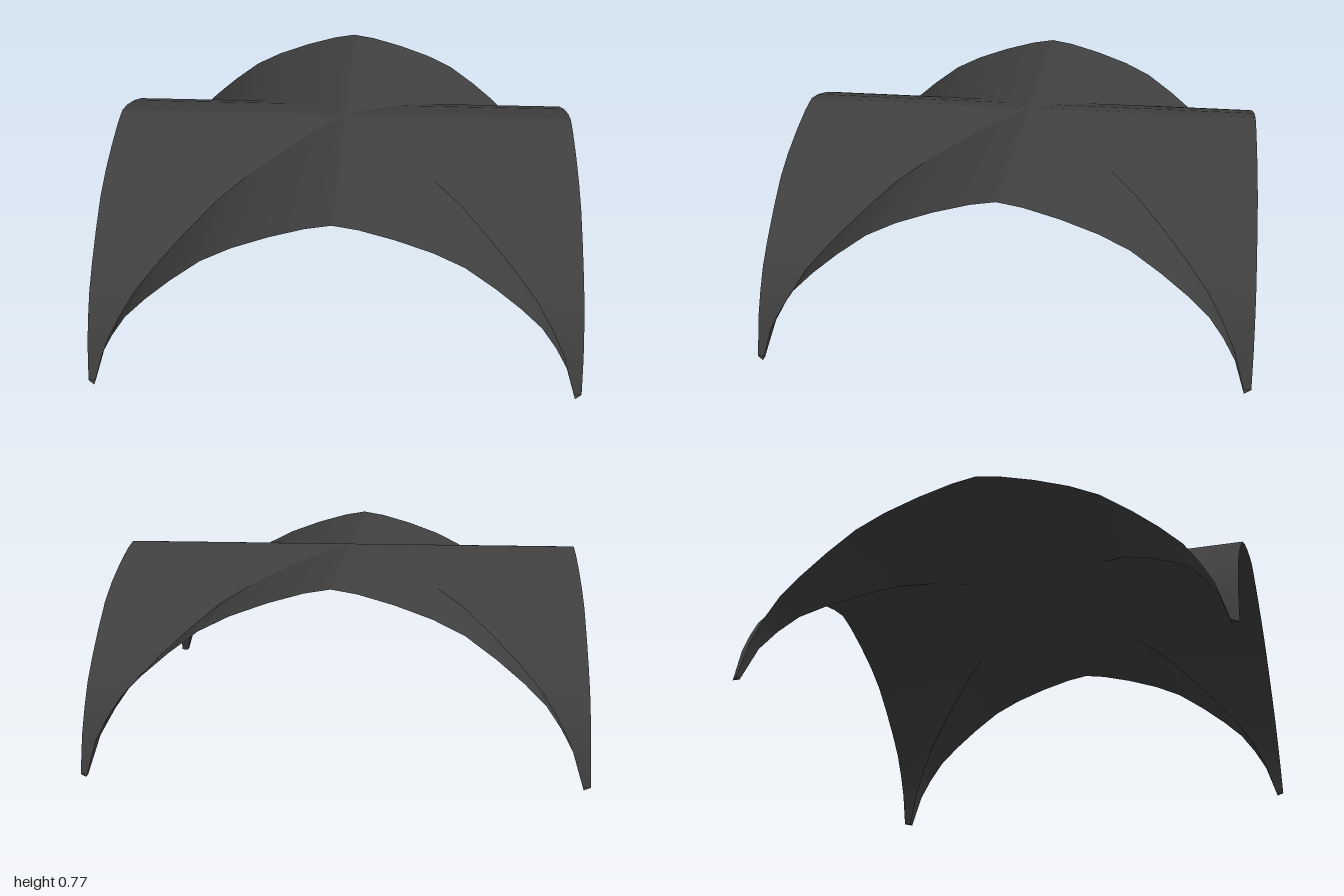
import * as THREE from 'three';

// Arch profile from crown to springing: [distance from centre line, height]
const ARCH = [
  [0, 0.77], [0.1, 0.753], [0.24, 0.713], [0.385, 0.66], [0.505, 0.6], [0.625, 0.51],
  [0.73, 0.42], [0.815, 0.335], [0.875, 0.245], [0.925, 0.15], [0.97, 0],
];

const material = new THREE.MeshStandardMaterial({ color: 0x404040, side: THREE.DoubleSide });

function surface(positions, index) {
  const geometry = new THREE.BufferGeometry();
  geometry.setAttribute('position', new THREE.Float32BufferAttribute(positions, 3));
  geometry.setIndex(index);
  geometry.computeVertexNormals();
  return geometry;
}

// Half a vault web: each row runs from the diagonal groin out to the open arch
function halfWeb(side) {
  const positions = [], index = [];
  ARCH.forEach(([d, y], i) => {
    positions.push(side * d, y, d, side * d, y, 1);
    if (i === ARCH.length - 1) return;
    const a = 2 * i, b = a + 1, c = a + 2, e = a + 3;
    if (side > 0) index.push(a, b, e, a, e, c);
    else index.push(a, e, b, a, c, e);
  });
  return surface(positions, index);
}

export function createModel() {
  const model = new THREE.Group();
  model.name = 'groinVault';

  const rightHalf = halfWeb(-1);
  const leftHalf = halfWeb(1);
  const s = ARCH[ARCH.length - 1][0];
  const foot = surface([s, 0, s, s, 0, 1, 1, 0, s], [0, 1, 2]);

  // Four identical quarters around the centre, each a web and a corner foot
  ['front', 'left', 'back', 'right'].forEach((name, i) => {
    const quarter = new THREE.Group();
    quarter.name = name + 'Quarter';
    quarter.rotation.y = i * Math.PI / 2;
    const parts = { WebRightHalf: rightHalf, WebLeftHalf: leftHalf, CornerFoot: foot };
    for (const [part, geometry] of Object.entries(parts)) {
      const mesh = new THREE.Mesh(geometry, material);
      mesh.name = name + part;
      quarter.add(mesh);
    }
    model.add(quarter);
  });
  return model;
}
